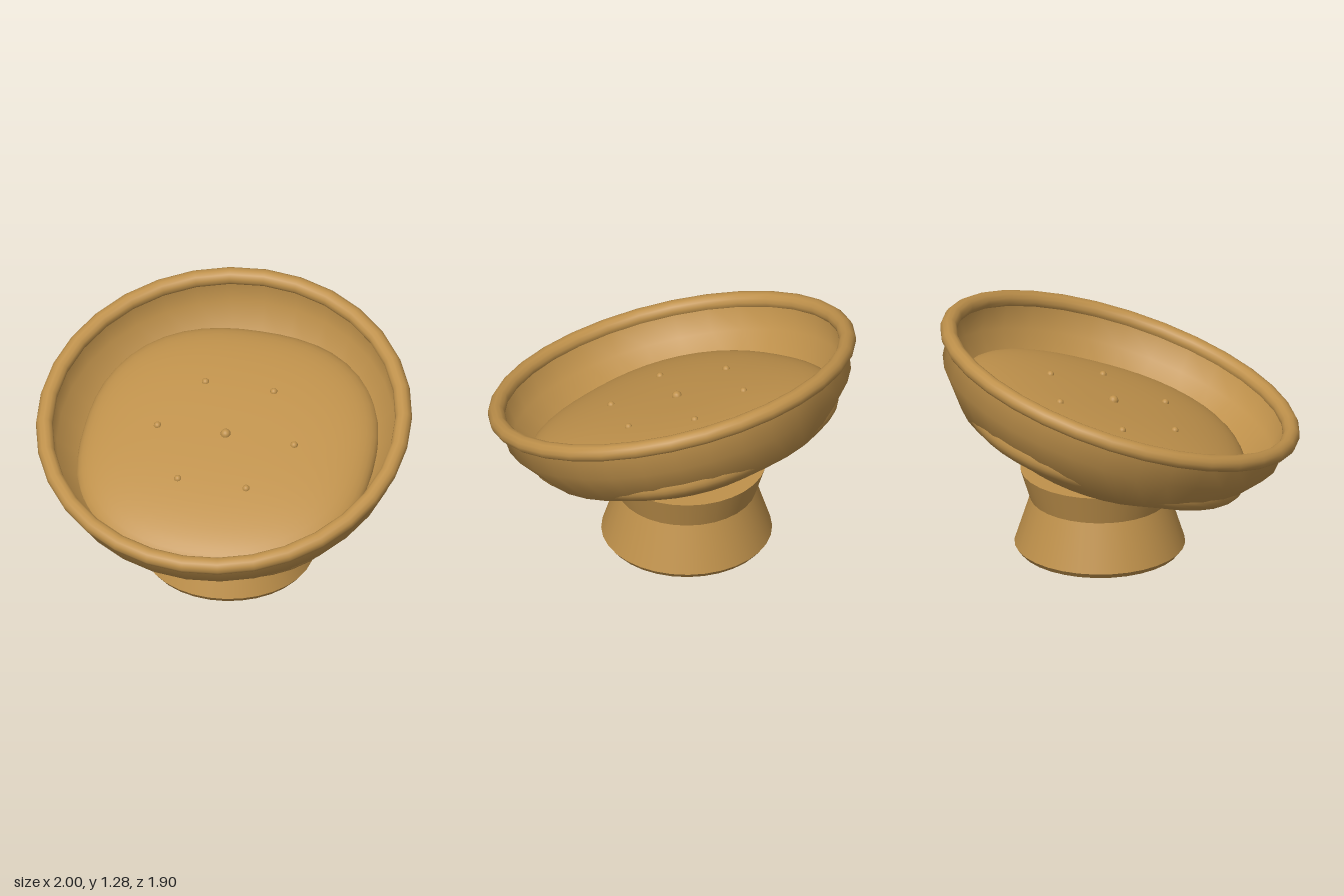
import * as THREE from 'three';
import { mergeVertices } from 'three/addons/utils/BufferGeometryUtils.js';

const SEGMENTS = 32;

// Lathe from [radius, height] pairs
function lathe(points, material, name) {
  const profile = points.map(([r, y]) => new THREE.Vector2(r, y));
  const mesh = new THREE.Mesh(new THREE.LatheGeometry(profile, SEGMENTS), material);
  mesh.name = name;
  return mesh;
}

// Soft squarish pillow: a sphere pushed out to a superellipsoid
function cushionGeometry(radius, halfHeight, p, q) {
  const sphere = new THREE.SphereGeometry(1, 48, 32);
  sphere.deleteAttribute('uv');
  sphere.deleteAttribute('normal');
  const geometry = mergeVertices(sphere);
  const pos = geometry.attributes.position;
  for (let i = 0; i < pos.count; i++) {
    const [x, y, z] = [pos.getX(i), pos.getY(i), pos.getZ(i)];
    const flat = Math.pow(Math.abs(x) ** p + Math.abs(z) ** p, q / p);
    const k = Math.pow(flat + Math.abs(y) ** q, -1 / q);
    pos.setXYZ(i, x * k * radius, y * k * halfHeight, z * k * radius);
  }
  geometry.computeVertexNormals();
  return geometry;
}

export function createModel() {
  const model = new THREE.Group();
  model.name = 'tiltedBowlChair';
  const tan = new THREE.MeshStandardMaterial({ color: 0xbf914b });
  tan.name = 'warm tan';
  tan.side = THREE.DoubleSide;

  // Flared pedestal, open underneath
  const pedestal = new THREE.Group();
  pedestal.name = 'pedestal';
  pedestal.position.z = -0.108;
  pedestal.add(
    lathe([[0.43, 0], [0.453, 0.03]], tan, 'footBevel'),
    lathe([[0.453, 0.03], [0.37, 0.29]], tan, 'lowerFlare'),
    lathe([[0.37, 0.29], [0.422, 0.455]], tan, 'upperFlare'),
    lathe([[0.422, 0.455], [0, 0.455]], tan, 'pedestalTop'),
  );
  model.add(pedestal);

  // Everything above leans towards the front
  const seat = new THREE.Group();
  seat.name = 'tiltedSeat';
  seat.position.y = 0.945;
  seat.rotation.x = THREE.MathUtils.degToRad(18);
  model.add(seat);

  // Shell, outside and inside
  seat.add(
    lathe([[0, -0.52], [0.48, -0.5], [0.77, -0.37], [0.935, -0.165], [0.955, 0]], tan, 'bowlOutside'),
    lathe([[0.925, 0], [0.9, -0.15], [0.735, -0.34], [0.46, -0.46], [0, -0.48]], tan, 'bowlInside'),
  );

  // Rounded rim
  const rim = new THREE.Mesh(new THREE.TorusGeometry(0.955, 0.045, 12, SEGMENTS), tan);
  rim.name = 'rim';
  rim.rotation.x = Math.PI / 2;
  seat.add(rim);

  // Cushion filling the bowl
  const cushion = new THREE.Mesh(cushionGeometry(0.79, 0.175, 2.4, 2.5), tan);
  cushion.name = 'cushion';
  cushion.position.y = -0.29;
  seat.add(cushion);

  // Buttons: one in the middle, six around it
  const addButton = (x, y, z, size) => {
    const button = new THREE.Mesh(new THREE.SphereGeometry(size, 14, 10), tan);
    button.name = 'button';
    button.position.set(x, y, z);
    seat.add(button);
  };
  addButton(0, -0.115, 0, 0.027);
  for (let i = 0; i < 6; i++) {
    const a = (i * Math.PI) / 3;
    addButton(0.373 * Math.cos(a), -0.128, 0.373 * Math.sin(a), 0.02);
  }
  return model;
}
